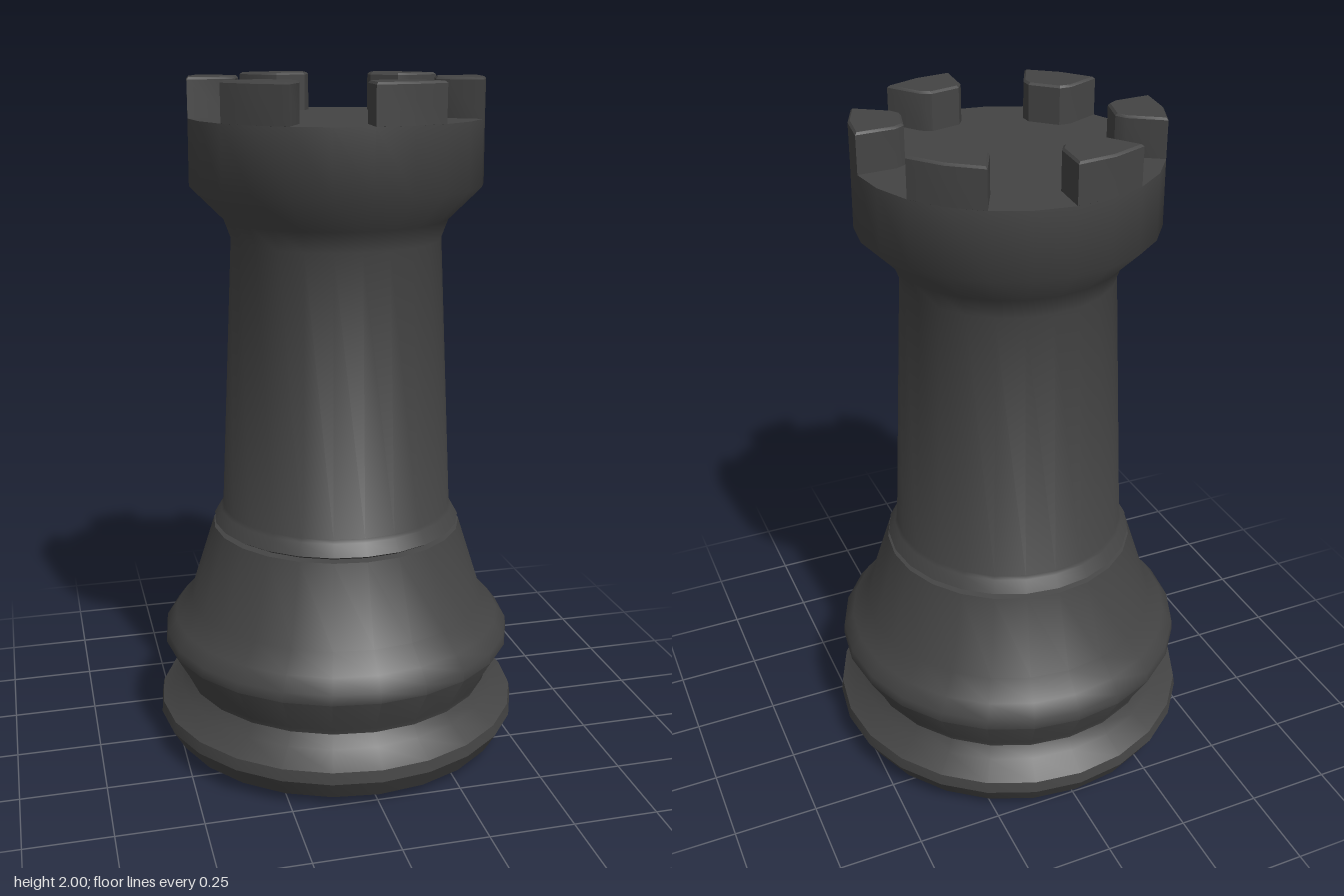
import * as THREE from 'three';
import { toCreasedNormals } from 'three/addons/utils/BufferGeometryUtils.js';

const SIDES = 24;
const FLOOR = 1.89;
const material = new THREE.MeshStandardMaterial({ color: 0x444444 });

function addMesh(parent, name, geometry) {
  const mesh = new THREE.Mesh(geometry, material);
  mesh.name = name;
  parent.add(mesh);
  return mesh;
}

// Turned part from [radius, height] pairs, listed bottom to top
function turned(profile, crease = 0.65) {
  const points = profile.map(([r, y]) => new THREE.Vector2(r, y));
  return toCreasedNormals(new THREE.LatheGeometry(points, SIDES), crease);
}

// Wedge standing on the rim, with cut inner corners and a small bevel
function merlonGeometry() {
  const bevel = 0.006;
  const half = [[0, 0.42], [14.8, 0.42], [13.3, 0.31], [9.5, 0.282]];
  const outline = [
    ...half.slice(1).reverse().map(([a, r]) => [-a, r]),
    ...half,
  ].map(([a, r]) => {
    const t = THREE.MathUtils.degToRad(a);
    return new THREE.Vector2(r * Math.cos(t), r * Math.sin(t));
  });
  const geometry = new THREE.ExtrudeGeometry(new THREE.Shape(outline), {
    depth: 2 - FLOOR - bevel,
    bevelThickness: bevel,
    bevelSize: bevel,
    bevelOffset: -bevel,
    bevelSegments: 1,
  });
  geometry.rotateX(-Math.PI / 2);
  geometry.translate(0, FLOOR, 0);
  return toCreasedNormals(geometry, 0.5);
}

export function createModel() {
  const rook = new THREE.Group();
  rook.name = 'rook';

  // Foot, waist groove, collar bulge and flared skirt
  addMesh(rook, 'base', turned([
    [0, 0], [0.43, 0], [0.52, 0.03], [0.555, 0.09], [0.55, 0.125],
    [0.49, 0.165], [0.468, 0.2], [0.472, 0.215],
    [0.533, 0.325], [0.53, 0.355], [0.5, 0.395], [0.45, 0.45],
    [0.375, 0.685], [0.355, 0.69],
  ]));

  // Thin ring and tapering shaft, flaring into the crown
  addMesh(rook, 'shaft', turned([
    [0.355, 0.69], [0.372, 0.7], [0.352, 0.735], [0.345, 0.745],
    [0.305, 1.55], [0.327, 1.61], [0.422, 1.705], [0.42, FLOOR], [0, FLOOR],
  ], 0.85));

  // Six battlements around the rim
  const battlements = new THREE.Group();
  battlements.name = 'battlements';
  rook.add(battlements);
  const wedge = merlonGeometry();
  for (let i = 0; i < 6; i++) {
    const merlon = addMesh(battlements, 'merlon', wedge);
    merlon.rotation.y = -Math.PI / 12 - (i * Math.PI) / 3;
  }
  return rook;
}
